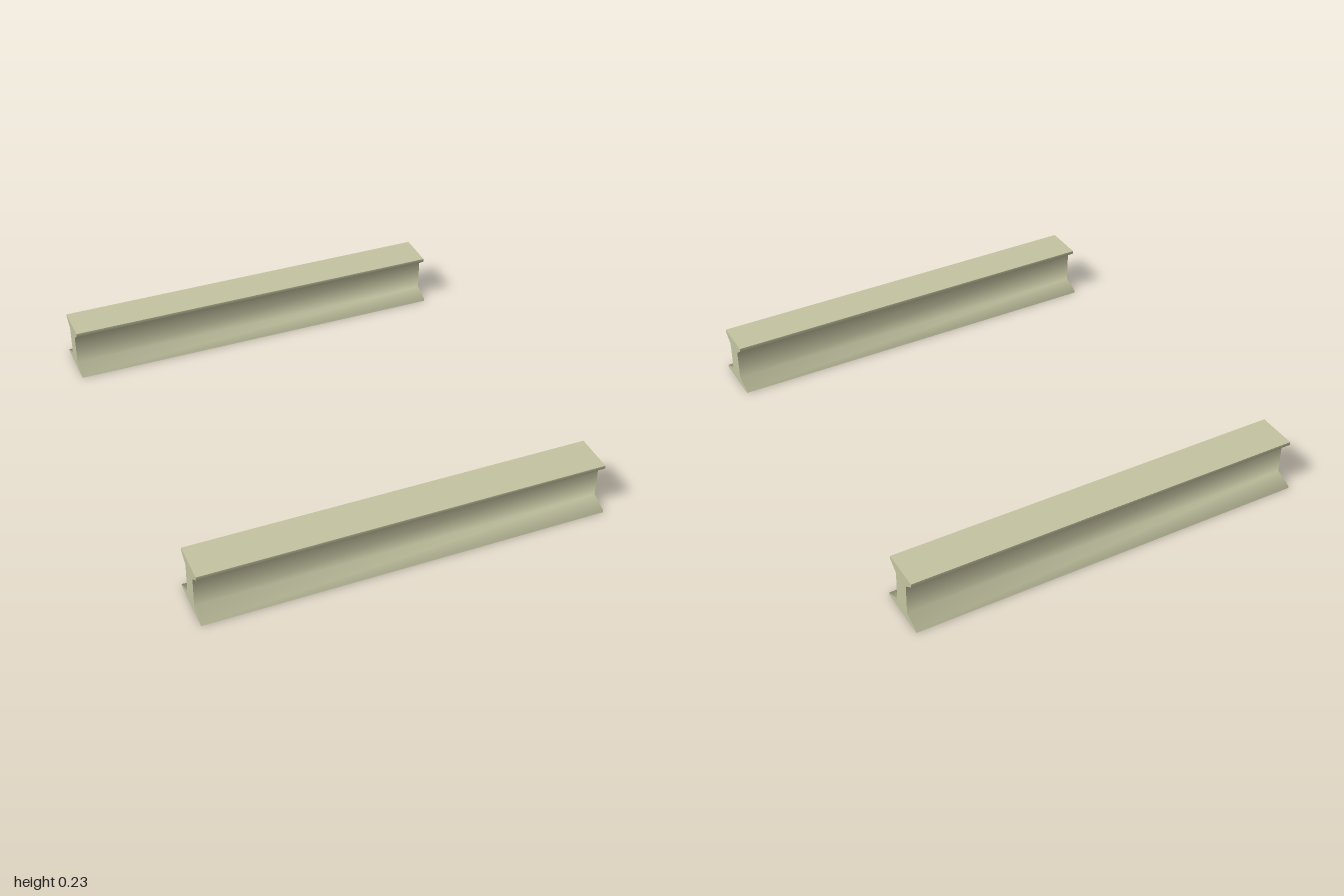
import * as THREE from 'three';
import { toCreasedNormals } from 'three/addons/utils/BufferGeometryUtils.js';

const LENGTH = 1.78;
const RAIL_OFFSET = 0.88;

// Right half of the rail section, from foot to head: [half width, height]
const HALF_SECTION = [
  [0.12, 0], [0.12, 0.01], [0.043, 0.04],
  [0.043, 0.18], [0.09, 0.215], [0.09, 0.23],
];

function railGeometry() {
  const right = HALF_SECTION.map(([w, h]) => new THREE.Vector2(w, h));
  const left = HALF_SECTION.map(([w, h]) => new THREE.Vector2(-w, h)).reverse();
  const geometry = new THREE.ExtrudeGeometry(new THREE.Shape([...right, ...left]), {
    depth: LENGTH,
    bevelEnabled: false,
  });
  geometry.translate(0, 0, -LENGTH / 2);
  geometry.rotateY(Math.PI / 2);
  // Sides blend smoothly; top, underside and ends stay sharp
  return toCreasedNormals(geometry, THREE.MathUtils.degToRad(75));
}

export function createModel() {
  const group = new THREE.Group();
  group.name = 'railPair';
  const paleOlive = new THREE.MeshStandardMaterial({ color: 0xc4c4a2 });
  paleOlive.name = 'paleOlive';

  // Two parallel rails running along x
  const geometry = railGeometry();
  for (const [name, side] of [['frontRail', 1], ['backRail', -1]]) {
    const rail = new THREE.Mesh(geometry, paleOlive);
    rail.name = name;
    rail.position.z = side * RAIL_OFFSET;
    group.add(rail);
  }
  return group;
}
